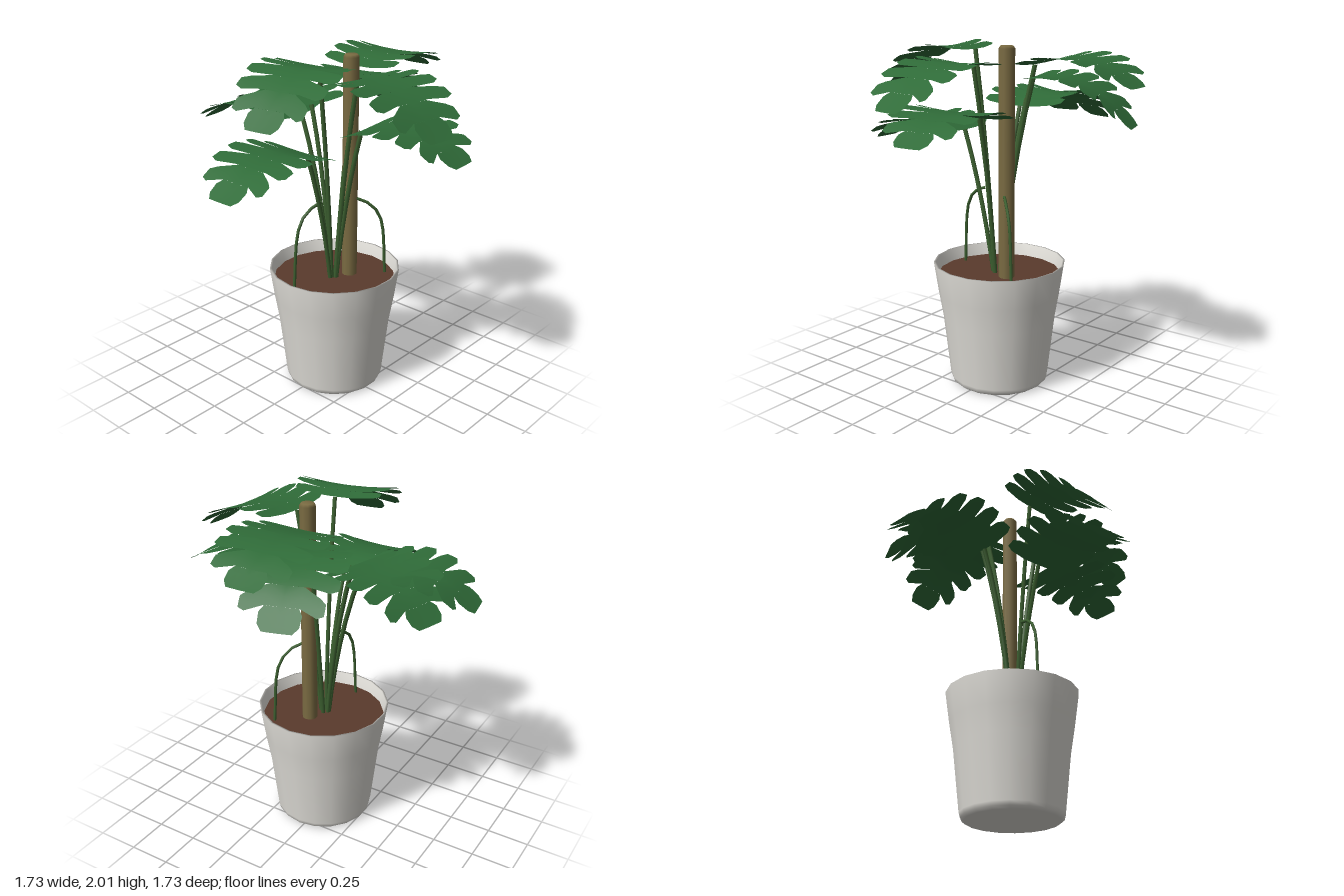
import * as THREE from 'three';
import { mergeVertices } from 'three/addons/utils/BufferGeometryUtils.js';

const V = (x, y, z) => new THREE.Vector3(x, y, z);
const mat = (color, side = THREE.FrontSide) => new THREE.MeshStandardMaterial({ color, side });
const potMat = mat(0xe0ded8, THREE.DoubleSide);
const soilMat = mat(0x5a3a2c);
const poleMat = mat(0x7a6b42);
const stemMat = mat(0x3c6030);
const leafMat = mat(0x2f6b38, THREE.DoubleSide);

const POT_X = 0.02, POT_Z = -0.015;

function add(parent, name, geometry, material) {
  const mesh = new THREE.Mesh(geometry, material);
  mesh.name = name;
  parent.add(mesh);
  return mesh;
}

// Half widths of the side lobes, from the base of a leaf to its tip
const LOBES = [0.25, 0.275, 0.285, 0.27, 0.22];
const TIP_START = 0.82;

// Split leaf: lobes laid out flat as (u along, v across), then bent over the midrib curve
function leafGeometry(points) {
  const rib = new THREE.CatmullRomCurve3(points);
  const dir = points[points.length - 1].clone().sub(points[0]).setY(0).normalize();
  const side = V(0, 1, 0).cross(dir);
  const positions = [], index = [];

  const place = (u, v) => {
    const p = rib.getPoint(Math.min(u, 1)).addScaledVector(side, v);
    p.y += 0.25 * v * v;
    return p;
  };
  // Patch of rows x columns; at(i, j) returns [u, v]
  const patch = (rows, cols, sign, at) => {
    const start = positions.length / 3;
    for (let i = 0; i < rows; i++) {
      for (let j = 0; j < cols; j++) {
        const [u, v] = at(i, j);
        positions.push(...place(u, v * sign).toArray());
      }
    }
    for (let i = 0; i < rows - 1; i++) {
      for (let j = 0; j < cols - 1; j++) {
        const a = start + i * cols + j, b = a + cols;
        if (sign > 0) index.push(a, b, a + 1, b, b + 1, a + 1);
        else index.push(a, a + 1, b, b, a + 1, b + 1);
      }
    }
  };

  const step = TIP_START / LOBES.length;
  const across = [0, 0.42, 0.85, 1], fill = [1, 1, 0.86, 0.5];
  const tipRows = [[TIP_START, 0.09], [0.87, 0.112], [0.95, 0.108], [1, 0.08]];
  for (const sign of [1, -1]) {
    LOBES.forEach((width, k) => {
      const lean = 0.015 + 0.018 * k;
      patch(3, 4, sign, (i, j) => {
        const u = step * (k + 0.5 + (i / 2 - 0.5) * fill[j]);
        return [u + (j > 1 ? lean * across[j] : 0), width * across[j]];
      });
    });
    patch(4, 3, sign, (i, j) => [tipRows[i][0], tipRows[i][1] * j / 2]);
  }

  let geometry = new THREE.BufferGeometry();
  geometry.setAttribute('position', new THREE.Float32BufferAttribute(positions, 3));
  geometry.setIndex(index);
  geometry = mergeVertices(geometry, 1e-4);
  geometry.computeVertexNormals();
  return geometry;
}

// Midrib points of each leaf, base to tip
const LEAVES = {
  upperFront: [V(0.04, 1.97, 0.14), V(0.07, 1.985, 0.3), V(0.1, 1.9, 0.5), V(0.12, 1.74, 0.68)],
  lowerFront: [V(0.03, 1.5, 0.23), V(0.03, 1.55, 0.43), V(0.03, 1.52, 0.66), V(0.03, 1.4, 0.87)],
  upperBack: [V(-0.02, 1.9, -0.23), V(-0.025, 1.945, -0.44), V(-0.03, 1.92, -0.66), V(-0.04, 1.81, -0.86)],
  lowerBack: [V(-0.02, 1.83, -0.22), V(-0.07, 1.83, -0.4), V(-0.13, 1.75, -0.6), V(-0.18, 1.58, -0.77)],
  upperLeft: [V(0.21, 1.9, 0.02), V(0.4, 1.92, 0.04), V(0.62, 1.85, 0.07), V(0.82, 1.7, 0.1)],
  lowerLeft: [V(0.21, 1.61, -0.02), V(0.42, 1.67, -0.03), V(0.65, 1.65, -0.05), V(0.85, 1.54, -0.07)],
  upperRight: [V(-0.19, 1.68, -0.05), V(-0.38, 1.71, -0.1), V(-0.57, 1.66, -0.16), V(-0.74, 1.53, -0.22)],
  lowerRight: [V(-0.21, 1.63, 0.01), V(-0.42, 1.69, 0.04), V(-0.65, 1.66, 0.08), V(-0.86, 1.53, 0.11)],
};

function createFoliage() {
  const foliage = new THREE.Group();
  foliage.name = 'foliage';
  for (const [name, points] of Object.entries(LEAVES)) {
    add(foliage, name + 'Leaf', leafGeometry(points), leafMat);

    // Stalk rising from the soil and bending out under its leaf
    const end = points[0];
    const root = V(0.02 + end.x * 0.1, 0.64, end.z * 0.1);
    const bend = V(0.02 + end.x * 0.4, 0.66 + (end.y - 0.66) * 0.58, end.z * 0.45);
    const path = new THREE.QuadraticBezierCurve3(root, bend, end);
    add(foliage, name + 'Stalk', new THREE.TubeGeometry(path, 6, 0.013, 6), stemMat);
  }
  return foliage;
}

export function createModel() {
  const model = new THREE.Group();
  model.name = 'pottedPlant';

  // Pot: tapered outside, thin rim and inner wall
  const profile = [
    [0, 0], [0.27, 0], [0.288, 0.015], [0.295, 0.04], [0.335, 0.4], [0.362, 0.56],
    [0.388, 0.74], [0.376, 0.74], [0.355, 0.64],
  ].map(([r, y]) => new THREE.Vector2(r, y));
  add(model, 'pot', new THREE.LatheGeometry(profile, 18), potMat).position.set(POT_X, 0, POT_Z);

  // Soil
  const soil = add(model, 'soil', new THREE.CylinderGeometry(0.362, 0.352, 0.04, 18), soilMat);
  soil.position.set(POT_X, 0.65, POT_Z);

  // Support pole with a slightly rounded top
  const pole = [[0.046, 0.64], [0.046, 1.985], [0.036, 2], [0, 2]]
    .map(([r, y]) => new THREE.Vector2(r, y));
  add(model, 'supportPole', new THREE.LatheGeometry(pole, 10), poleMat).position.set(0.065, 0, -0.1);

  model.add(createFoliage());

  // Aerial roots arching down into the soil
  const roots = [
    [V(0.01, 1.17, 0.09), V(-0.01, 1.13, 0.19), V(-0.02, 1.04, 0.25), V(-0.03, 0.66, 0.285)],
    [V(0.1, 1.16, -0.11), V(0.16, 1.12, -0.17), V(0.2, 1.03, -0.22), V(0.22, 0.66, -0.25)],
  ];
  for (const points of roots) {
    const path = new THREE.CatmullRomCurve3(points);
    add(model, 'aerialRoot', new THREE.TubeGeometry(path, 8, 0.009, 6), stemMat);
  }
  return model;
}
